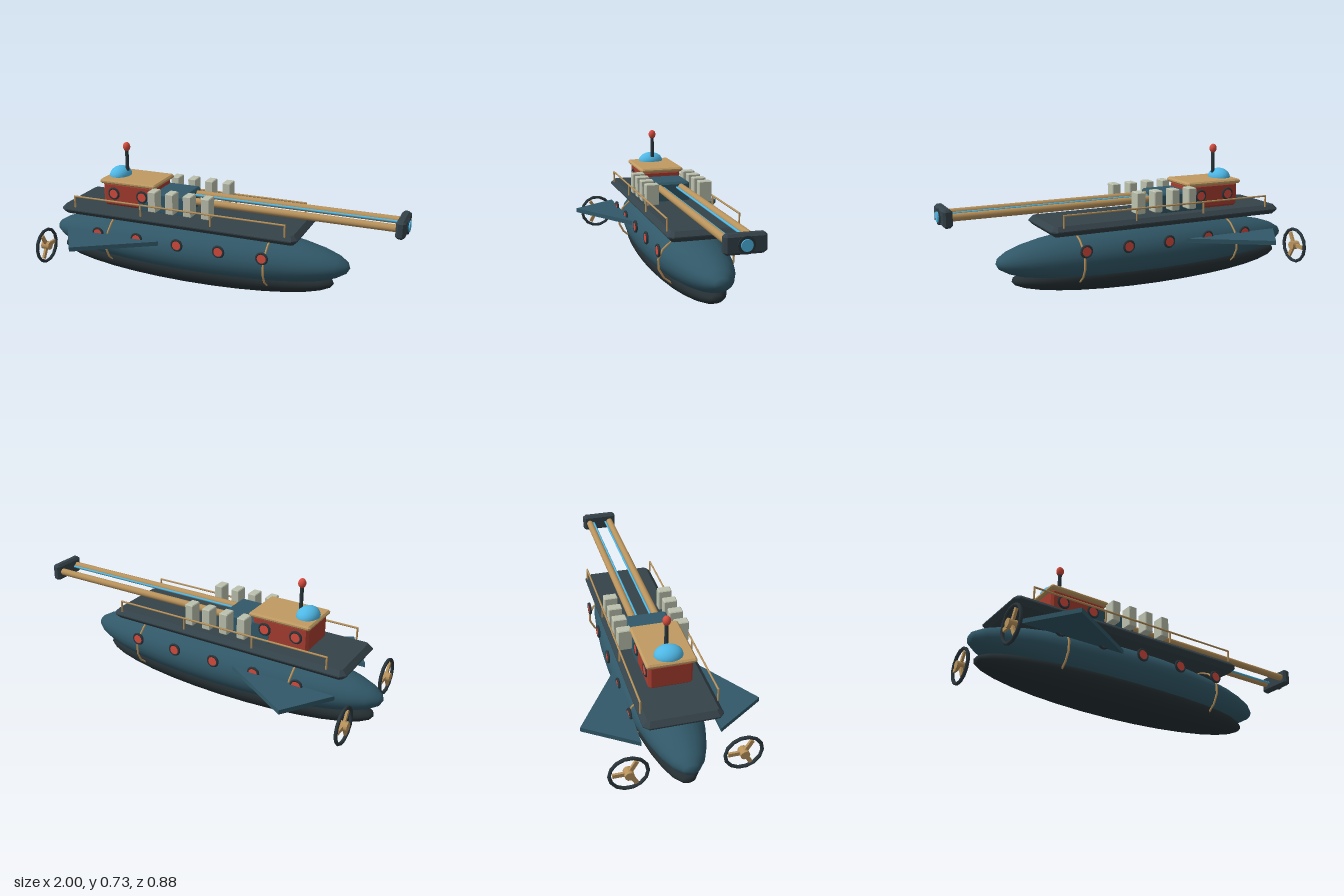
import * as THREE from 'three';

const mat = (color, flatShading = false) => new THREE.MeshStandardMaterial({ color, flatShading });
const M = {
  hull: mat(0x315868), panel: mat(0x315868, true), keel: mat(0x263034), dark: mat(0x344249, true),
  ring: mat(0x2b373d), brass: mat(0xb9935c), roof: mat(0xc09a62, true), red: mat(0xd84c3e),
  cabin: mat(0xa63d30, true), glass: mat(0x4fb8e6), cream: mat(0xbcc1ae, true),
};

export function createModel() {
  const model = new THREE.Group();
  const add = (name, geo, material, x = 0, y = 0, z = 0, parent = model) => {
    const m = new THREE.Mesh(geo, material);
    m.name = name;
    m.position.set(x, y, z);
    parent.add(m);
    return m;
  };
  const rod = (r, len, seg = 12) => new THREE.CylinderGeometry(r, r, len, seg);
  const rodX = (r, len, seg) => rod(r, len, seg).rotateZ(-Math.PI / 2);
  const rodZ = (r, len, seg) => rod(r, len, seg).rotateX(Math.PI / 2);

  // Flat outline in x/z extruded upwards from y0 to y1, with chamfered edges
  const slab = (points, y0, y1, b) => {
    const shape = new THREE.Shape(points.map(([x, z]) => new THREE.Vector2(x, -z)));
    const geo = new THREE.ExtrudeGeometry(shape, {
      depth: y1 - y0 - 2 * b, bevelEnabled: b > 0, bevelSize: b, bevelThickness: b, bevelOffset: -b, bevelSegments: 1,
    });
    return geo.rotateX(-Math.PI / 2).translate(0, y0 + b, 0);
  };
  // Rectangle with cut corners
  const rect = (x0, x1, z, c) => [
    [x0 + c, z], [x1 - c, z], [x1, z - c], [x1, c - z], [x1 - c, -z], [x0 + c, -z], [x0, c - z], [x0, z - c],
  ];
  const ellipsoid = (rx, ry, rz) =>
    new THREE.SphereGeometry(1, 28, 16).rotateZ(-Math.PI / 2).scale(rx, ry, rz);

  // Body
  add('hull', ellipsoid(0.86, 0.15, 0.2), M.hull, -0.14, 0.2);
  add('keel', ellipsoid(0.8, 0.1, 0.17), M.keel, -0.16, 0.1);
  add('deck', slab(rect(-0.865, 0.485, 0.19, 0.025), 0.345, 0.397, 0.023), M.dark);

  // Brass hoops around the hull, open at the keel
  for (const x of [-0.58, 0.32]) {
    const arc = THREE.MathUtils.degToRad(284);
    const hoop = new THREE.TorusGeometry(1, 0.03, 6, 14, arc).rotateZ(Math.PI / 2 - arc / 2);
    add('hullBand', hoop.scale(0.2, 0.145, 0.18).rotateY(Math.PI / 2), M.brass, x, 0.2);
  }

  // Cabin, roof and turret
  add('cabin', slab(rect(-0.635, -0.33, 0.107, 0.012), 0.4, 0.53, 0.012), M.cabin);
  add('cabinRoof', slab(rect(-0.647, -0.315, 0.122, 0.008), 0.524, 0.548, 0.008), M.roof);
  const side = new THREE.Shape([
    [-0.43, 0.39], [-0.15, 0.39], [-0.15, 0.488], [-0.16, 0.5], [-0.37, 0.5], [-0.43, 0.45],
  ].map(([x, y]) => new THREE.Vector2(x, y)));
  add('turret', new THREE.ExtrudeGeometry(side, {
    depth: 0.2, bevelSize: 0.008, bevelOffset: -0.008, bevelThickness: 0.008, bevelSegments: 1,
  }), M.panel, 0, 0, -0.1);
  const dome = new THREE.SphereGeometry(1, 20, 8, 0, Math.PI * 2, 0, Math.PI / 2).scale(0.058, 0.051, 0.071);
  add('dome', dome, M.glass, -0.582, 0.546);
  add('antenna', rod(0.01, 0.12, 8), M.ring, -0.54, 0.635);
  add('antennaTip', new THREE.SphereGeometry(0.02, 14, 10).scale(1, 1.25, 1), M.red, -0.54, 0.709);

  // Round window: dark rim and coloured pane
  const porthole = (x, y, z) => {
    const g = new THREE.Group();
    g.name = 'porthole';
    g.position.set(x, y, z);
    add('portholeRim', new THREE.TorusGeometry(0.028, 0.007, 6, 16), M.ring, 0, 0, 0, g);
    add('portholePane', rodZ(0.027, 0.01, 16), M.red, 0, 0, 0, g);
    model.add(g);
  };

  for (const s of [1, -1]) {
    for (let i = 0; i < 5; i++) porthole(-0.628 + i * 0.235, 0.265, s * 0.198);
    for (const x of [-0.57, -0.4]) porthole(x, 0.47, s * 0.107);

    // Swept side fins
    const fin = [[-0.825, 0.19], [-0.27, 0.19], [-0.66, 0.44]].map(([x, z]) => [x, s * z]);
    add('fin', slab(fin, 0.243, 0.266, 0), M.panel);

    // Handrail
    add('rail', rodX(0.005, 1.2, 6), M.brass, -0.173, 0.453, s * 0.183);
    for (const x of [-0.77, -0.372, 0.026, 0.424])
      add('railPost', rod(0.005, 0.065, 6), M.brass, x, 0.423, s * 0.183);

    // Row of upright canisters
    for (let i = 0; i < 4; i++)
      add('canister', slab(rect(-0.0235, 0.0235, 0.035, 0.004), 0.42, 0.532, 0.004), M.cream,
        -0.306 + i * 0.101, 0, s * 0.145);

    // Twin barrels with glowing inner strips
    add('barrel', rodX(0.019, 1.12, 12), M.brass, 0.4, 0.471, s * 0.061);
    add('barrelStrip', rodX(0.006, 1.12, 8), M.glass, 0.4, 0.471, s * 0.036);

    // Ringed propeller
    const prop = new THREE.Group();
    prop.name = 'propeller';
    prop.position.set(-0.913, 0.178, s * 0.272);
    add('propellerRing', new THREE.TorusGeometry(0.09, 0.009, 6, 14).rotateY(Math.PI / 2), M.ring, 0, 0, 0, prop);
    add('propellerHub', rodX(0.023, 0.046, 10), M.brass, 0, 0, 0, prop);
    for (let i = 0; i < 3; i++) {
      const blade = new THREE.BoxGeometry(0.012, 0.02, 0.07).translate(0, 0, -0.04);
      add('propellerBlade', blade.rotateX(i * Math.PI * 2 / 3), M.brass, 0, 0, 0, prop);
    }
    model.add(prop);
  }

  // Muzzle block with a round lens
  add('muzzle', slab(rect(0.943, 0.99, 0.097, 0.012), 0.425, 0.516, 0.012), M.dark);
  add('lensRim', rodX(0.04, 0.012, 20), M.ring, 0.988, 0.468);
  add('lens', rodX(0.027, 0.02, 20), M.glass, 0.99, 0.468);

  return model;
}
